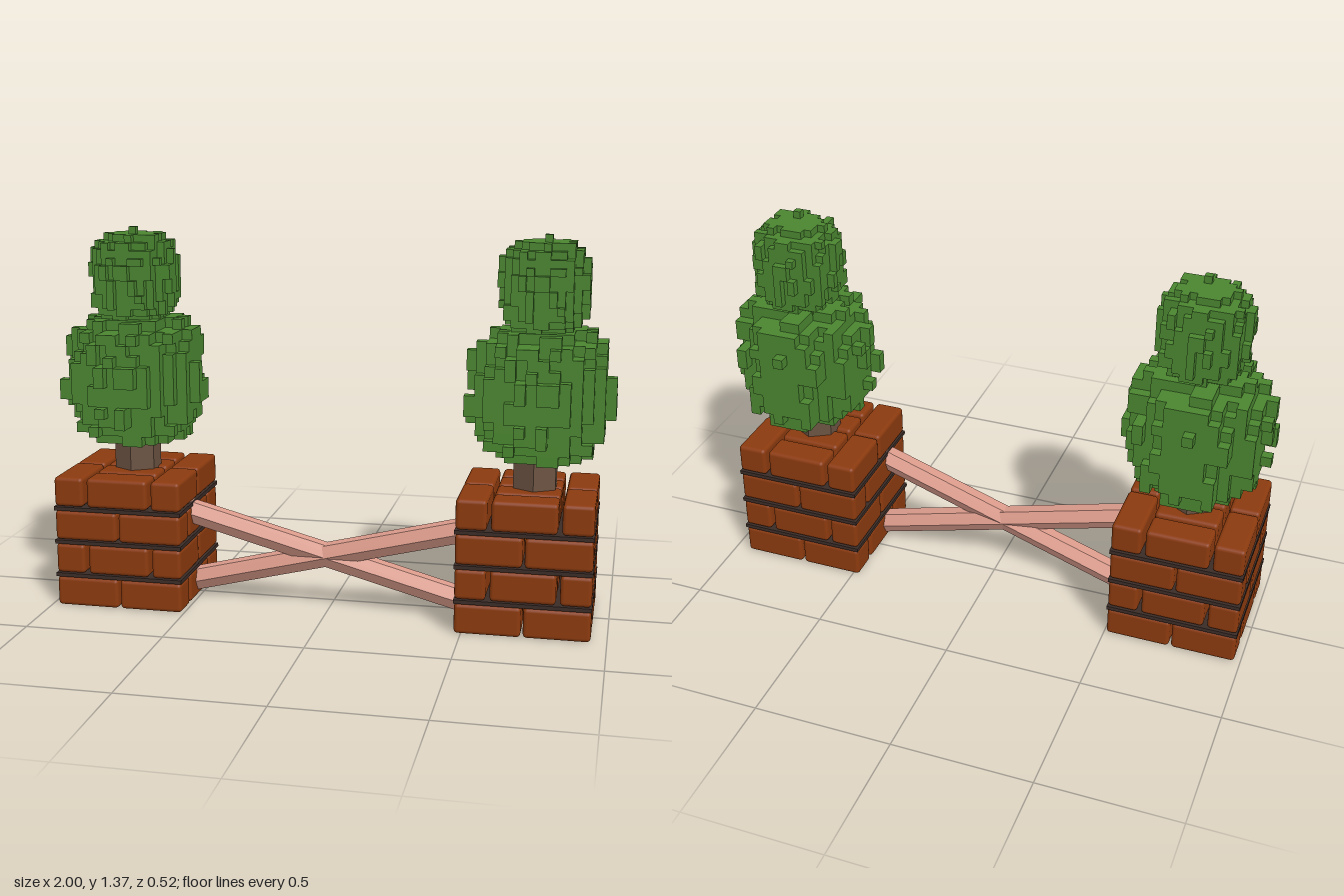
import * as THREE from 'three';
import { mergeGeometries } from 'three/addons/utils/BufferGeometryUtils.js';
import { RoundedBoxGeometry } from 'three/addons/geometries/RoundedBoxGeometry.js';

const mat = (color, flatShading = false) => new THREE.MeshStandardMaterial({ color, flatShading });
const brickMat = mat(0x8b3a0e), mortarMat = mat(0x3a2c27), trunkMat = mat(0x6b5342, true);
const leafMat = mat(0x4a8530, true), beamMat = mat(0xdc9c8c, true);

const SIZE = 0.47, PITCH = 0.1245, BRICK_H = 0.108, CENTER_Z = 0.025;

function add(parent, name, geometry, material, x = 0, y = 0, z = 0) {
  const mesh = new THREE.Mesh(geometry, material);
  mesh.name = name;
  mesh.position.set(x, y, z);
  parent.add(mesh);
  return mesh;
}

// Four courses of rounded bricks, each turned a quarter against the last, with mortar between
function makePlanter() {
  const planter = new THREE.Group();
  planter.name = 'brickPlanter';
  const outer = new RoundedBoxGeometry(0.108, BRICK_H, 0.231, 2, 0.014);
  const inner = new RoundedBoxGeometry(0.226, BRICK_H, 0.108, 2, 0.014);
  for (let row = 0; row < 4; row++) {
    const course = new THREE.Group();
    course.name = 'brickCourse';
    course.position.y = row * PITCH + BRICK_H / 2;
    course.rotation.y = row % 2 ? 0 : Math.PI / 2;
    for (const x of [-0.181, 0.181])
      for (const z of [-0.1195, 0.1195]) add(course, 'brick', outer, brickMat, x, 0, z);
    for (const z of [-0.181, -0.0603, 0.0603, 0.181]) add(course, 'brick', inner, brickMat, 0, 0, z);
    planter.add(course);
    if (row < 3)
      add(planter, 'mortar', new THREE.BoxGeometry(SIZE + 0.004, 0.014, SIZE + 0.004), mortarMat,
        0, (row + 1) * PITCH - 0.008, 0);
  }
  return planter;
}

// Repeatable pseudo-random value in 0..1 for three integers
function hash(a, b, c) {
  const s = Math.sin(a * 127.1 + b * 311.7 + c * 74.7) * 43758.5453;
  return s - Math.floor(s);
}

// Outward faces of a unit cube, paired with the neighbour each one looks at
const cubeFaces = [[1, 0, 0], [-1, 0, 0], [0, 1, 0], [0, -1, 0], [0, 0, 1], [0, 0, -1]].map((n) => {
  const face = new THREE.PlaneGeometry(1, 1).translate(0, 0, 0.5);
  face.applyQuaternion(new THREE.Quaternion().setFromUnitVectors(
    new THREE.Vector3(0, 0, 1), new THREE.Vector3(...n)));
  return { n, face };
});

// Blocky rounded bush: cubes inside a soft ellipsoid whose surface steps in and out
function makeBush(cell, radius, halfHeight, bump, seed) {
  const filled = (i, j, k) => {
    const p = [i + 0.5, j + 0.5, k + 0.5].map((v) => v * cell);
    const a = p.map((v, n) => Math.abs(v) / (n === 1 ? halfHeight : radius));
    // Noise ignores the main outward axis, so every bump joins the core
    const axis = a.indexOf(Math.max(...a));
    const id = [i, j, k].map((v, n) => (n === axis ? 50 * Math.sign(p[n]) : v));
    if (axis === 1) id[0] >>= 1; else id[1] >>= 1;
    const noise = hash(id[0] + seed, id[1], id[2] + axis * 17);
    return a[0] ** 2 + a[2] ** 2 + a[1] ** 4 < 0.85 + bump * noise ** 1.5;
  };
  const N = 8, faces = [];
  for (let i = -N; i < N; i++)
    for (let j = -N; j < N; j++)
      for (let k = -N; k < N; k++) {
        if (!filled(i, j, k)) continue;
        for (const { n, face } of cubeFaces)
          if (!filled(i + n[0], j + n[1], k + n[2]))
            faces.push(face.clone().translate(i + 0.5, j + 0.5, k + 0.5).scale(cell, cell, cell));
      }
  return mergeGeometries(faces);
}

// Hexagonal beam running between two points
function addBeam(parent, name, from, to) {
  const a = new THREE.Vector3(...from), b = new THREE.Vector3(...to);
  const dir = b.clone().sub(a);
  const beam = add(parent, name, new THREE.CylinderGeometry(0.045, 0.045, dir.length(), 6), beamMat);
  beam.position.copy(a).add(b).multiplyScalar(0.5);
  beam.quaternion.setFromUnitVectors(new THREE.Vector3(0, 1, 0), dir.normalize());
}

export function createModel() {
  const model = new THREE.Group();
  model.name = 'topiaryBarrier';

  const lower = makeBush(0.0371, 0.228, 0.235, 0.45, 3);
  const upper = makeBush(0.0262, 0.147, 0.165, 0.4, 11);
  const sides = [
    { planterX: -0.743, trunkX: -0.737, bushX: -0.74 },
    { planterX: 0.71, trunkX: 0.726, bushX: 0.738 },
  ];
  for (const { planterX, trunkX, bushX } of sides) {
    const planter = makePlanter();
    planter.position.set(planterX, 0, CENTER_Z);
    model.add(planter);

    const tree = new THREE.Group();
    tree.name = 'tree';
    add(tree, 'trunk', new THREE.CylinderGeometry(0.085, 0.085, 0.26, 6), trunkMat, trunkX, 0.53, CENTER_Z);
    add(tree, 'lowerFoliage', lower, leafMat, bushX, 0.812, 0);
    add(tree, 'upperFoliage', upper, leafMat, bushX, 1.182, 0);
    model.add(tree);
  }

  // Crossed beams joining the planters
  addBeam(model, 'fallingBeam', [-0.58, 0.35, 0.075], [0.55, 0.03 + 0.015, 0.075]);
  addBeam(model, 'risingBeam', [-0.58, 0.045, 0.028], [0.55, 0.35, 0.125]);
  return model;
}
